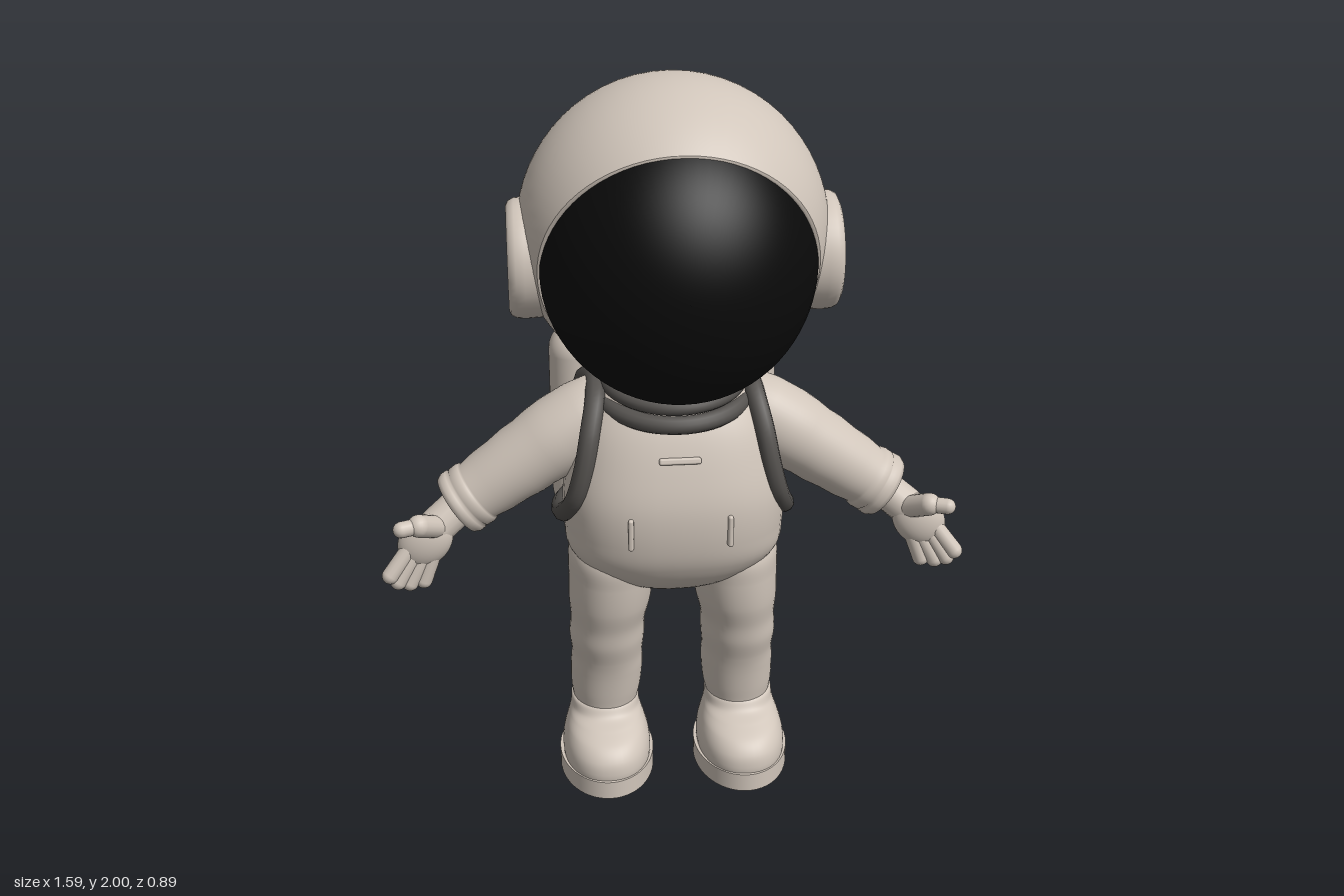
import * as THREE from 'three';
import { RoundedBoxGeometry } from 'three/addons/geometries/RoundedBoxGeometry.js';
import { ParametricGeometry } from 'three/addons/geometries/ParametricGeometry.js';

const V = (x, y, z) => new THREE.Vector3(x, y, z);

export function createModel() {
  const suit = new THREE.MeshStandardMaterial({ color: 0xd0c5ba });
  suit.name = 'suitBeige';
  const strapMat = new THREE.MeshStandardMaterial({ color: 0x55524f });
  strapMat.name = 'strapGrey';
  const glass = new THREE.MeshStandardMaterial({ color: 0x0a0a0a });
  glass.name = 'visorBlack';

  const model = new THREE.Group();
  model.name = 'astronaut';

  function add(name, geometry, material, parent = model) {
    const mesh = new THREE.Mesh(geometry, material);
    mesh.name = name;
    parent.add(mesh);
    return mesh;
  }

  // Smooth skin through rings of [y, centreX, centreZ, radiusX, radiusZ]
  function loft(rings, power = 2, nu = 48, nv = 60) {
    const mid = new THREE.CatmullRomCurve3(rings.map(r => V(r[1], r[0], r[2])), false, 'catmullrom');
    const rad = new THREE.CatmullRomCurve3(rings.map(r => V(r[3], 0, r[4])), false, 'catmullrom');
    const bend = c => Math.sign(c) * Math.abs(c) ** (2 / power);
    return new ParametricGeometry((u, v, out) => {
      const a = u * Math.PI * 2, c = mid.getPoint(v), r = rad.getPoint(v);
      out.set(c.x + r.x * bend(Math.cos(a)), c.y, c.z - r.z * bend(Math.sin(a)));
    }, nu, nv);
  }

  // Aligns a mesh's local +y with the line from a to b
  function aim(mesh, a, b) {
    mesh.quaternion.setFromUnitVectors(V(0, 1, 0), b.clone().sub(a).normalize());
    return mesh;
  }

  function capsule(name, a, b, r, parent) {
    const mesh = aim(add(name, new THREE.CapsuleGeometry(r, a.distanceTo(b), 8, 16), suit, parent), a, b);
    mesh.position.copy(a).lerp(b, 0.5);
    return mesh;
  }

  const lathe = pts => new THREE.LatheGeometry(pts.map(p => new THREE.Vector2(p[0], p[1])), 48);

  // Helmet shell: a sphere with an oval opening at the front
  const R = 0.4;
  const rim = a => {
    const x = 0.352 * Math.cos(a), y = -0.05 + 0.318 * Math.sin(a);
    return { phi: Math.atan2(y, x), theta: Math.asin(Math.hypot(x, y) / R), x, y };
  };
  const rimZ = r => R * Math.cos(r.theta);
  add('helmet', new ParametricGeometry((u, v, out) => {
    const r = rim(u * Math.PI * 2);
    const t = THREE.MathUtils.lerp(Math.PI - 0.002, r.theta, v);
    out.set(R * Math.sin(t) * Math.cos(r.phi), 1.6 + R * Math.sin(t) * Math.sin(r.phi), R * Math.cos(t));
  }, 72, 48), suit);

  // Lip between shell and visor
  add('helmetLip', new ParametricGeometry((u, v, out) => {
    const r = rim(u * Math.PI * 2), k = 1 - 0.06 * v;
    out.set(r.x * k, 1.55 + (r.y + 0.05) * k, rimZ(r) + 0.004 * Math.sin(v * Math.PI) - 0.01 * v);
  }, 72, 4), suit);

  // Bulging visor
  add('visor', new ParametricGeometry((u, v, out) => {
    const a = u * Math.PI * 2, k = 1 - 0.998 * v;
    const x = 0.346 * k * Math.cos(a), y = 0.312 * k * Math.sin(a);
    const z = 0.08 + 0.367 * Math.sqrt(1 - (x / 0.363) ** 2 - (y / 0.388) ** 2);
    out.set(x, 1.55 + y, z);
  }, 72, 32), glass);

  // Torso, rounded off below as the seat of the suit
  add('torso', loft([
    [0.575, 0, -0.02, 0.002, 0.002], [0.59, 0, -0.02, 0.09, 0.09], [0.65, 0, -0.02, 0.215, 0.185],
    [0.72, 0, -0.012, 0.288, 0.226], [0.8, 0, -0.002, 0.3, 0.238], [0.9, 0, 0.01, 0.3, 0.23],
    [1, 0, 0.01, 0.285, 0.21], [1.1, 0, 0.008, 0.255, 0.178], [1.18, 0, -0.005, 0.2, 0.145],
    [1.23, 0, -0.005, 0.13, 0.1], [1.25, 0, 0, 0.002, 0.002]], 2.6), suit);
  add('neck', new THREE.CylinderGeometry(0.16, 0.16, 0.16, 40), suit).position.y = 1.2;

  // Two collar rings, lower at the front
  [[1.165, 0.195, 0.024], [1.205, 0.18, 0.02]].forEach(([y, r, tube]) => {
    const ring = add('collarRing', new THREE.TorusGeometry(r, tube, 12, 56), strapMat);
    ring.position.set(0, y, 0);
    ring.rotation.x = Math.PI / 2 + 0.15;
  });

  // Chest tab and pocket tabs
  const tab = (name, w, h, x, y, z, ry) => {
    const m = add(name, new RoundedBoxGeometry(w, h, 0.03, 2, 0.006), suit);
    m.position.set(x, y, z);
    m.rotation.y = ry;
    return m;
  };
  tab('chestTab', 0.11, 0.018, 0, 1.04, 0.203, 0).rotation.x = -0.3;
  for (const s of [1, -1]) tab('pocketTab', 0.014, 0.09, s * 0.13, 0.845, 0.227, s * 0.2);

  // Backpack with a raised rear panel
  const pack = new THREE.Group();
  pack.name = 'backpack';
  model.add(pack);
  add('packBody', new RoundedBoxGeometry(0.645, 0.58, 0.18, 8, 0.08), suit, pack).position.set(0, 0.95, -0.315);
  function panel(name, w, h, r, z, depth, bevel) {
    const x = w / 2 - bevel, y = h / 2 - bevel, sh = new THREE.Shape();
    [[1, 1, 0], [-1, 1, 1], [-1, -1, 2], [1, -1, 3]].forEach(([sx, sy, q]) =>
      sh.absarc(sx * (x - r), sy * (y - r), r, q * Math.PI / 2, (q + 1) * Math.PI / 2, false));
    const g = new THREE.ExtrudeGeometry(sh, {
      depth, bevelSize: bevel, bevelThickness: bevel, bevelSegments: 4, curveSegments: 10 });
    add(name, g, suit, pack).position.set(0, 0.95, z);
  }
  panel('packFrame', 0.43, 0.48, 0.06, -0.415, 0.06, 0.018);
  panel('packPanel', 0.38, 0.42, 0.05, -0.437, 0.04, 0.01);

  for (const s of [1, -1]) {
    const side = s > 0 ? 'left' : 'right';
    const P = (x, y, z) => V(x * s, y, z);

    // Ear disc with an inset face
    const ear = add(side + 'EarDisc', lathe([[0.152, -0.06], [0.155, 0], [0.153, 0.022], [0.146, 0.036],
      [0.135, 0.042], [0.124, 0.041], [0.12, 0.035], [0.116, 0.035], [0.113, 0.04], [0, 0.042]]), suit);
    ear.position.set(s * 0.382, 1.54, 0.012);
    ear.rotation.z = -s * Math.PI / 2;

    // Shoulder strap looping round the arm to the pack
    const path = new THREE.CatmullRomCurve3([
      P(0.24, 1.02, -0.24), P(0.23, 1.14, -0.15), P(0.21, 1.185, -0.04), P(0.21, 1.175, 0.07),
      P(0.228, 1.1, 0.135), P(0.248, 1.0, 0.155), P(0.272, 0.91, 0.14), P(0.298, 0.845, 0.075),
      P(0.307, 0.815, -0.01), P(0.295, 0.785, -0.13), P(0.26, 0.765, -0.24)]);
    add(side + 'Strap', new THREE.TubeGeometry(path, 80, 0.027, 10), strapMat);

    // Sleeve with soft folds and a double cuff
    const arm = new THREE.Group();
    arm.name = side + 'Arm';
    model.add(arm);
    const shoulder = P(0.2, 1.115, 0), wrist = P(0.575, 0.86, 0.02);
    const sleeve = add('sleeve', lathe([[0.001, -0.07], [0.06, -0.055], [0.09, -0.02], [0.103, 0.04],
      [0.108, 0.12], [0.106, 0.17], [0.101, 0.21], [0.101, 0.25], [0.095, 0.3], [0.093, 0.35], [0.086, 0.395],
      [0.09, 0.4], [0.093, 0.41], [0.092, 0.428], [0.086, 0.434], [0.093, 0.44], [0.094, 0.455],
      [0.088, 0.468], [0.07, 0.472], [0.001, 0.472]]), suit, arm);
    sleeve.position.copy(shoulder);
    aim(sleeve, shoulder, wrist);

    // Open hand, palm forward
    capsule('wrist', P(0.57, 0.862, 0.025), P(0.64, 0.81, 0.055), 0.052, arm);
    const palm = add('palm', new THREE.SphereGeometry(1, 32, 20), suit, arm);
    palm.scale.set(0.068, 0.085, 0.042);
    palm.position.copy(P(0.675, 0.775, 0.075));
    palm.rotation.z = s * 0.7;
    [[0.705, 0.775, 0.772, 0.69], [0.695, 0.755, 0.752, 0.667],
      [0.675, 0.74, 0.722, 0.658], [0.655, 0.74, 0.685, 0.66]].forEach(([x0, y0, x1, y1], i) =>
      capsule('finger', P(x0, y0, 0.08), P(x1, y1, 0.108 - i * 0.008), 0.023, arm));
    capsule('thumb', P(0.645, 0.82, 0.085), P(0.685, 0.852, 0.14), 0.031, arm);
    capsule('thumbTip', P(0.685, 0.852, 0.14), P(0.73, 0.853, 0.16), 0.022, arm);

    // Padded trouser leg
    add(side + 'Leg', loft([
      [0.14, s * 0.195, -0.045, 0.088, 0.1], [0.19, s * 0.193, -0.045, 0.092, 0.104],
      [0.24, s * 0.191, -0.042, 0.1, 0.11], [0.31, s * 0.188, -0.034, 0.103, 0.115],
      [0.36, s * 0.187, -0.024, 0.101, 0.118], [0.42, s * 0.187, -0.014, 0.106, 0.128],
      [0.48, s * 0.184, -0.008, 0.105, 0.134], [0.55, s * 0.178, -0.002, 0.115, 0.148],
      [0.63, s * 0.172, 0, 0.12, 0.157], [0.7, s * 0.168, 0, 0.121, 0.16],
      [0.76, s * 0.16, 0, 0.1, 0.13]], 2.1), suit);

    // Boot, ankle trim and sole
    const boot = new THREE.Group();
    boot.name = side + 'Boot';
    model.add(boot);
    const bx = s * 0.195;
    add('bootUpper', loft([
      [0.03, bx, 0.018, 0.122, 0.184], [0.07, bx, 0.018, 0.126, 0.188], [0.105, bx, 0.016, 0.122, 0.182],
      [0.135, bx, 0.006, 0.113, 0.165], [0.158, bx, -0.015, 0.104, 0.136], [0.175, bx, -0.035, 0.099, 0.115],
      [0.2, bx, -0.045, 0.096, 0.106], [0.207, bx, -0.045, 0.08, 0.09]], 2.2), suit, boot);
    const sole = add('sole', new THREE.CylinderGeometry(1, 1, 0.054, 56), suit, boot);
    sole.scale.set(0.135, 1, 0.196);
    sole.position.set(bx, 0.027, 0.018);
  }
  return model;
}
